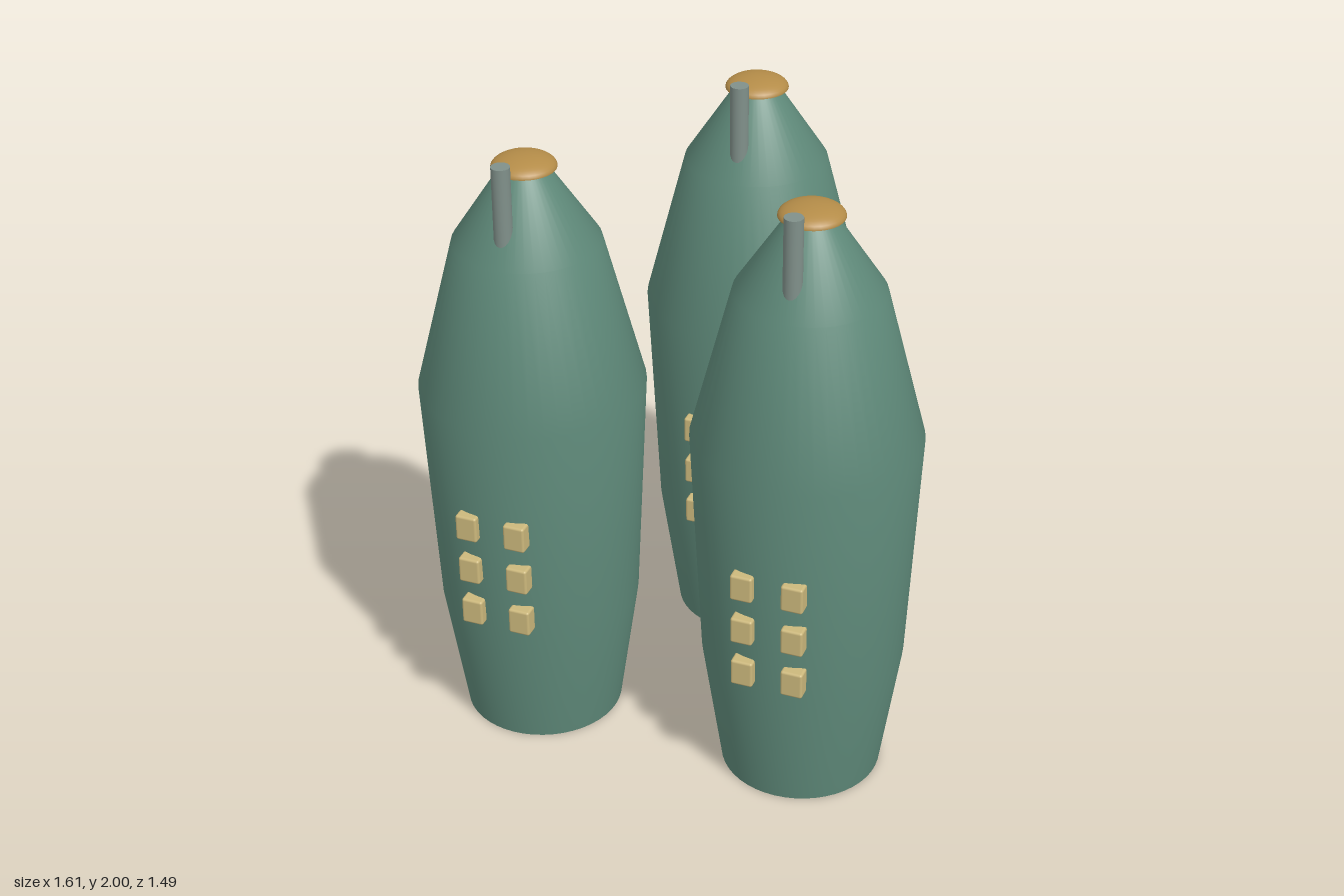
import * as THREE from 'three';
import { RoundedBoxGeometry } from 'three/addons/geometries/RoundedBoxGeometry.js';

const mat = (name, color) => new THREE.MeshStandardMaterial({ name, color });

export function createModel() {
  const green = mat('bodyGreen', 0x5f8a7a);
  const gold = mat('capGold', 0xb48c48);
  const grey = mat('pipeGrey', 0x80908a);
  const cream = mat('windowCream', 0xccb87c);

  // Shell: [radius, height] from base to shoulder to neck
  const profile = [[0.254, 0], [0.317, 0.43], [0.354, 1.2], [0.228, 1.69], [0.07, 1.93]];
  const shellGeo = new THREE.LatheGeometry(profile.map(([r, y]) => new THREE.Vector2(r, y)), 48);
  const baseGeo = new THREE.CircleGeometry(0.254, 48).rotateX(Math.PI / 2);

  // Cap: flattened half dome with a flat underside
  const domeGeo = new THREE.SphereGeometry(0.1, 32, 10, 0, Math.PI * 2, 0, Math.PI / 2)
    .scale(1, 0.37, 1);
  const undersideGeo = new THREE.CircleGeometry(0.1, 32).rotateX(Math.PI / 2);

  const pipeGeo = new THREE.CylinderGeometry(0.029, 0.029, 0.3, 20);
  const windowGeo = new RoundedBoxGeometry(0.07, 0.088, 0.05, 2, 0.008);

  function createTower(name, x, z) {
    const tower = new THREE.Group();
    tower.name = name;
    const add = (part, geo, material, px = 0, py = 0, pz = 0) => {
      const mesh = new THREE.Mesh(geo, material);
      mesh.name = part;
      mesh.position.set(px, py, pz);
      tower.add(mesh);
    };
    add('shell', shellGeo, green);
    add('base', baseGeo, green);
    add('capDome', domeGeo, gold, 0, 1.93, 0);
    add('capUnderside', undersideGeo, gold, 0, 1.93, 0);
    add('chimney', pipeGeo, grey, 0, 1.85, 0.16);
    // Two columns of windows, leaning out with the wall
    for (const [y, front] of [[0.52, 0.346], [0.68, 0.352], [0.84, 0.357]]) {
      for (const side of [-1, 1]) add('window', windowGeo, cream, side * 0.08, y, front - 0.025);
    }
    tower.position.set(x, 0, z);
    return tower;
  }

  const model = new THREE.Group();
  model.name = 'towerCluster';
  model.add(
    createTower('frontRightTower', -0.45, 0.39),
    createTower('frontLeftTower', 0.45, 0.39),
    createTower('backTower', 0, -0.39),
  );
  return model;
}
